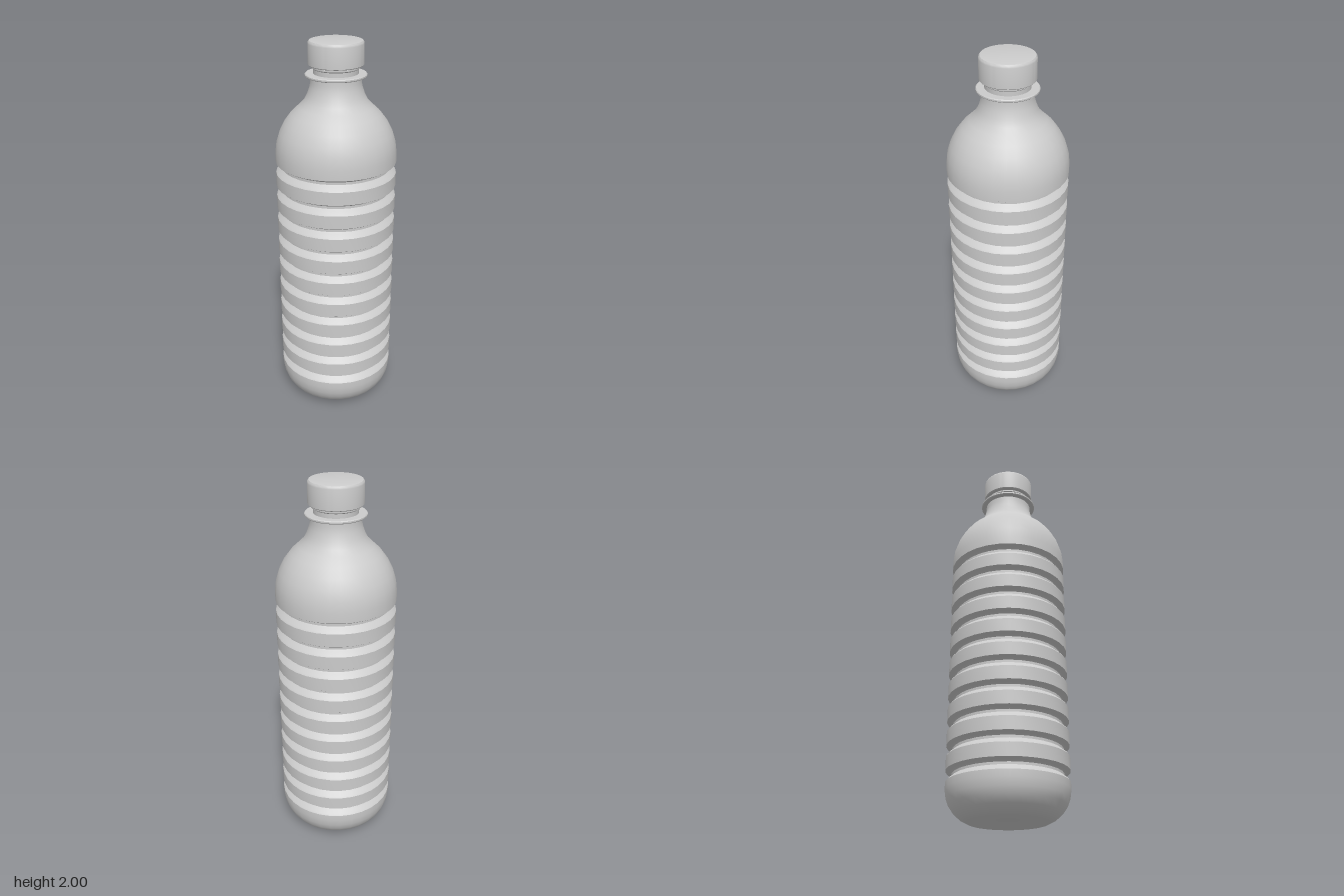
import * as THREE from 'three';
import { toCreasedNormals } from 'three/addons/utils/BufferGeometryUtils.js';

const material = new THREE.MeshStandardMaterial({ color: 0xcccccc, side: THREE.DoubleSide });

// Revolve [radius, height] pairs, listed from bottom to top
function turned(name, profile, sides) {
  const points = profile.map(([r, y]) => new THREE.Vector2(r, y));
  const lathe = new THREE.LatheGeometry(points, sides, Math.PI / sides);
  const mesh = new THREE.Mesh(toCreasedNormals(lathe, 0.6), material);
  mesh.name = name;
  return mesh;
}

export function createModel() {
  const group = new THREE.Group();
  group.name = 'bottle';
  const R = 0.311;

  // Rounded base with a shallow hollow underneath
  const body = [
    [0, 0.02], [0.15, 0.018], [0.18, 0.005], [0.2, 0.005], [0.235, 0.022],
    [0.268, 0.05], [0.292, 0.085], [0.305, 0.12], [R, 0.16],
  ];

  // Ten grooves: sloping lower side, narrow waist, steep upper lip
  const grooves = 10, pitch = 0.1265, first = 0.222;
  for (let i = 0; i < grooves; i++) {
    const y = first + i * pitch;
    body.push([R, y - 0.028], [0.305, y - 0.02], [0.288, y - 0.007],
      [0.281, y], [0.281, y + 0.013], [0.288, y + 0.02], [0.305, y + 0.026], [R, y + 0.03]);
  }

  // Domed shoulder flowing into the neck
  body.push(
    [R, 1.44], [0.304, 1.495], [0.288, 1.545], [0.262, 1.595], [0.228, 1.64],
    [0.19, 1.675], [0.162, 1.703], [0.145, 1.735], [0.133, 1.77], [0.127, 1.8], [0.127, 1.828],
  );
  group.add(turned('body', body, 32));

  // Collar ring
  group.add(turned('neckRing', [
    [0.11, 1.825], [0.15, 1.825], [0.154, 1.829], [0.154, 1.836], [0.15, 1.84], [0.11, 1.84],
  ], 64));

  // Threaded neck section under the cap
  group.add(turned('neck', [
    [0.112, 1.82], [0.112, 1.862], [0.12, 1.868], [0.12, 1.876], [0.112, 1.882], [0.112, 1.9],
  ], 64));

  // Screw cap with softened rim
  group.add(turned('cap', [
    [0, 1.88], [0.134, 1.88], [0.138, 1.884], [0.138, 1.984],
    [0.136, 1.992], [0.131, 1.998], [0.123, 2], [0, 2],
  ], 64));

  return group;
}
